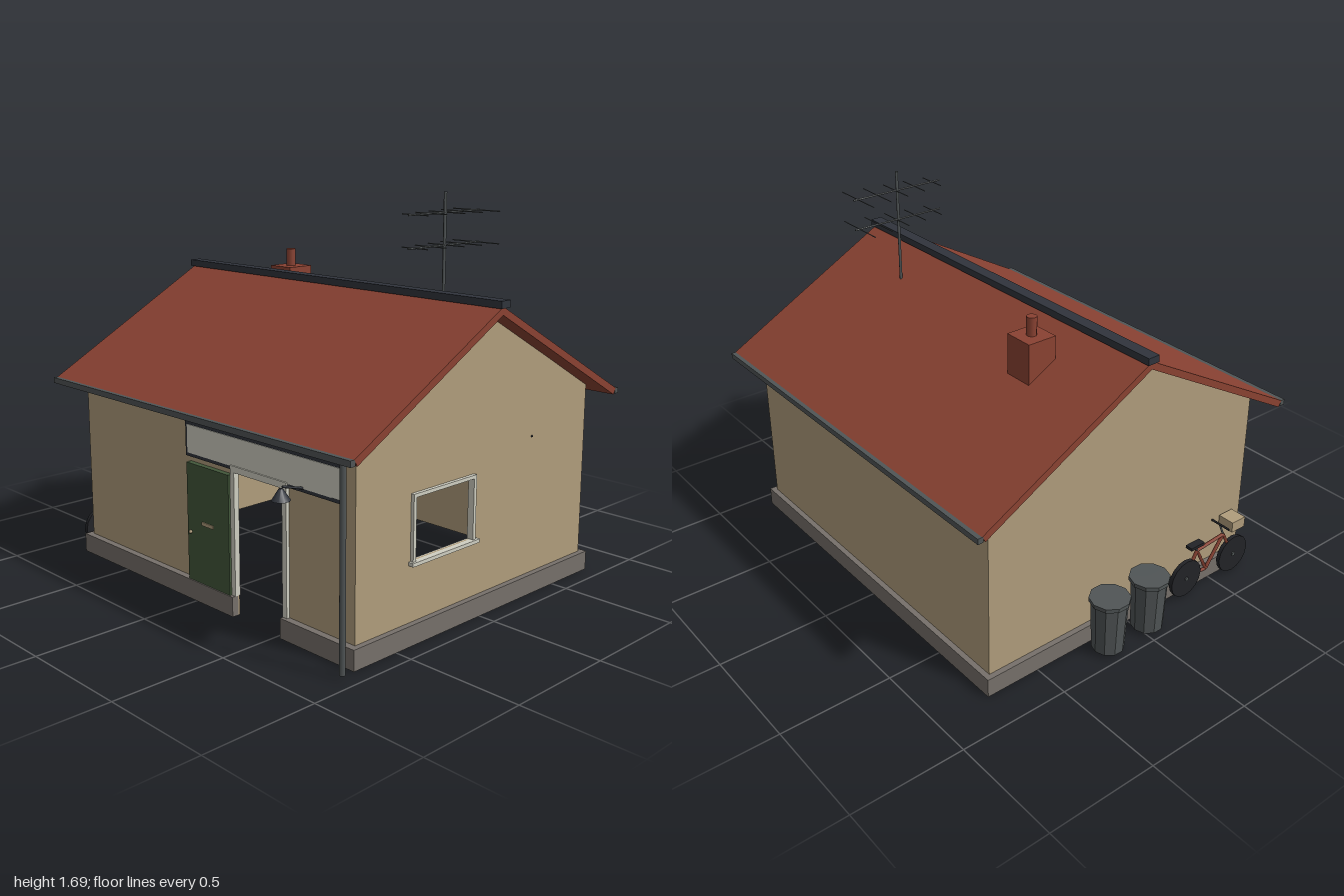
import * as THREE from 'three';

const mat = (name, color, side = THREE.FrontSide) => {
  const m = new THREE.MeshStandardMaterial({ color, side });
  m.name = name;
  return m;
};

export function createModel() {
  const root = new THREE.Group();
  root.name = 'house';
  const wall = mat('tan plaster', 0xb09d7c);
  const tile = mat('red tile', 0x8a4232);
  const stone = mat('grey stone', 0x76706a);
  const cream = mat('cream paint', 0xd0cfc2);
  const green = mat('green paint', 0x42573a);
  const dark = mat('dark slate', 0x30343c);
  const metal = mat('grey metal', 0x505556);
  const rubber = mat('black rubber', 0x222327);

  const add = (name, geo, m, parent = root) => {
    const mesh = new THREE.Mesh(geo, m);
    mesh.name = name;
    parent.add(mesh);
    return mesh;
  };
  const group = (name) => {
    const g = new THREE.Group();
    g.name = name;
    root.add(g);
    return g;
  };
  // Box given by its limits on each axis
  const box = (name, m, [x0, x1], [y0, y1], [z0, z1], parent) => {
    const mesh = add(name, new THREE.BoxGeometry(x1 - x0, y1 - y0, z1 - z0), m, parent);
    mesh.position.set((x0 + x1) / 2, (y0 + y1) / 2, (z0 + z1) / 2);
    return mesh;
  };
  // Round bar between two points
  const rod = (name, m, a, b, r, parent, sides = 6) => {
    const p = new THREE.Vector3(...a), q = new THREE.Vector3(...b);
    const d = q.clone().sub(p);
    const mesh = add(name, new THREE.CylinderGeometry(r, r, d.length(), sides), m, parent);
    mesh.position.copy(p).add(q).multiplyScalar(0.5);
    mesh.quaternion.setFromUnitVectors(new THREE.Vector3(0, 1, 0), d.normalize());
    return mesh;
  };
  const outline = (pts) => new THREE.Shape(pts.map(([x, y]) => new THREE.Vector2(x, y)));
  const extrude = (shape, depth) => new THREE.ExtrudeGeometry(shape, { depth, bevelEnabled: false });
  // Profile drawn in (z, y), extruded from xMax towards -x
  const extrudeX = (shape, xMax, depth) => extrude(shape, depth).rotateY(-Math.PI / 2).translate(xMax, 0, 0);

  // Hollow shell: thin walls, gables and a doorway
  const gable = () => outline([[0.70, 0], [0.70, 0.855], [-0.01, 1.25], [-0.73, 0.85], [-0.73, 0]]);
  const right = gable();
  right.holes.push(new THREE.Path([[0.04, 0.335], [0.385, 0.335], [0.385, 0.59], [0.04, 0.59]]
    .map((p) => new THREE.Vector2(...p))));
  add('rightGable', extrudeX(right, 0.90, 0.008), wall);
  add('leftGable', extrudeX(gable(), -0.802, 0.008), wall);
  box('backWall', wall, [-0.81, 0.90], [0, 0.85], [-0.73, -0.722]);
  const front = outline([[-0.81, 0], [0.235, 0], [0.235, 0.61], [0.522, 0.61], [0.522, 0],
    [0.90, 0], [0.90, 0.855], [-0.81, 0.855]]);
  add('frontWall', extrude(front, 0.008).translate(0, 0, 0.692), wall);

  // Plinth around the foot of the walls, open at the doorway
  const plinth = group('plinth');
  const py = [0, 0.085];
  box('plinthFrontLeft', stone, [-0.835, 0.235], py, [0.70, 0.73], plinth);
  box('plinthFrontRight', stone, [0.522, 0.925], py, [0.70, 0.73], plinth);
  box('plinthBack', stone, [-0.835, 0.925], py, [-0.755, -0.73], plinth);
  box('plinthLeft', stone, [-0.835, -0.81], py, [-0.73, 0.70], plinth);
  box('plinthRight', stone, [0.90, 0.925], py, [-0.73, 0.70], plinth);

  // Roof, ridge cap, gutters and downpipe
  const slopes = outline([[0.80, 0.835], [-0.01, 1.28], [-0.825, 0.835],
    [-0.81, 0.808], [-0.01, 1.247], [0.785, 0.808]]);
  add('roof', extrudeX(slopes, 0.99, 1.89), tile);
  box('ridgeCap', dark, [-0.91, 1.0], [1.275, 1.305], [-0.04, 0.015]);
  box('frontGutter', metal, [-0.90, 0.99], [0.81, 0.835], [0.795, 0.82]);
  box('backGutter', metal, [-0.90, 0.99], [0.81, 0.835], [-0.845, -0.82]);
  rod('downpipe', metal, [0.935, 0.015, 0.80], [0.935, 0.82, 0.80], 0.012, root, 8);

  // Chimney and pot
  box('chimney', tile, [-0.525, -0.39], [1.08, 1.295], [-0.305, -0.17]);
  rod('chimneyPot', tile, [-0.457, 1.29, -0.237], [-0.457, 1.375, -0.237], 0.022, root, 10);

  // Aerial: two booms with cross bars that grow towards the back
  const aerial = group('aerial');
  rod('mast', metal, [0.545, 1.14, -0.18], [0.545, 1.69, -0.18], 0.007, aerial);
  for (const y of [1.605, 1.47]) {
    rod('boom', metal, [0.545, y, 0.045], [0.545, y, -0.405], 0.004, aerial);
    for (let i = 0; i < 5; i++) {
      const z = 0.005 - i * 0.097, half = 0.07 + i * 0.014;
      rod('crossBar', metal, [0.545 - half, y, z], [0.545 + half, y, z], 0.0025, aerial, 4);
    }
  }

  // Sign board above the doorway
  const sign = group('signBoard');
  box('signBorder', dark, [-0.082, 0.842], [0.615, 0.765], [0.70, 0.706], sign);
  box('signPanel', cream, [-0.068, 0.828], [0.63, 0.751], [0.704, 0.709], sign);

  // Door leaf folded open against the wall, and the door frame
  const door = group('door');
  box('doorLeaf', green, [-0.055, 0.213], [0.085, 0.595], [0.70, 0.725], door);
  box('letterPlate', wall, [0.04, 0.115], [0.343, 0.358], [0.724, 0.729], door);
  const knob = add('doorKnob', new THREE.SphereGeometry(0.008, 8, 6), wall, door);
  knob.position.set(-0.032, 0.298, 0.73);
  const frame = group('doorFrame');
  box('leftJamb', cream, [0.213, 0.237], [0.085, 0.61], [0.69, 0.715], frame);
  box('rightJamb', cream, [0.52, 0.545], [0.085, 0.61], [0.69, 0.715], frame);
  box('lintel', cream, [0.213, 0.545], [0.608, 0.635], [0.69, 0.715], frame);

  // Side window frame and sill
  const win = group('window');
  for (const z of [0.028, 0.385]) box('windowSide', cream, [0.885, 0.915], [0.335, 0.605], [z, z + 0.016], win);
  box('windowTop', cream, [0.885, 0.915], [0.59, 0.605], [0.044, 0.385], win);
  box('windowSill', cream, [0.885, 0.925], [0.32, 0.335], [0.012, 0.412], win);
  box('wallHook', dark, [0.89, 0.904], [0.686, 0.693], [-0.349, -0.342]);

  // Lamp on a bracket
  const lamp = group('lamp');
  rod('lampArm', dark, [0.63, 0.63, 0.70], [0.63, 0.66, 0.81], 0.005, lamp);
  const shade = add('lampShade', new THREE.CylinderGeometry(0.008, 0.038, 0.045, 10), dark, lamp);
  shade.position.set(0.63, 0.632, 0.818);

  // Two dustbins
  for (const z of [-0.185, 0.04]) {
    const bin = group('dustbin');
    const facets = (rt, rb, h) => {
      const g = new THREE.CylinderGeometry(rt, rb, h, 10).toNonIndexed();
      g.computeVertexNormals();
      return g;
    };
    add('binBody', facets(0.08, 0.07, 0.235), metal, bin).position.y = 0.1325;
    add('binLid', facets(0.088, 0.088, 0.018), metal, bin).position.y = 0.257;
    bin.position.set(-0.912, 0, z);
  }

  // Bicycle leaning by the left wall
  const bike = group('bicycle');
  const bx = -0.86;
  for (const z of [0.32, 0.62]) {
    rod('wheel', rubber, [bx - 0.009, 0.092, z], [bx + 0.009, 0.092, z], 0.09, bike, 16);
    rod('hub', metal, [bx - 0.014, 0.092, z], [bx + 0.014, 0.092, z], 0.01, bike, 8);
  }
  const P = { rear: [0.092, 0.32], crank: [0.085, 0.45], seat: [0.21, 0.385], head: [0.225, 0.55], hub: [0.092, 0.62] };
  const at = ([y, z], dx = 0) => [bx + dx, y, z];
  for (const [a, b] of [['rear', 'crank'], ['rear', 'seat'], ['crank', 'seat'], ['seat', 'head'], ['crank', 'head'], ['head', 'hub']]) {
    rod('frameTube', tile, at(P[a]), at(P[b]), 0.008, bike);
  }
  rod('seatPost', metal, at(P.seat), at([0.24, 0.37]), 0.005, bike);
  box('saddle', rubber, [bx - 0.018, bx + 0.018], [0.238, 0.252], [0.33, 0.41], bike);
  rod('stem', metal, at(P.head), at([0.29, 0.52]), 0.005, bike);
  rod('handlebar', rubber, at([0.29, 0.52], -0.055), at([0.29, 0.52], 0.045), 0.005, bike);
  box('basket', wall, [-0.90, -0.82], [0.25, 0.30], [0.56, 0.64], bike);

  return root;
}
